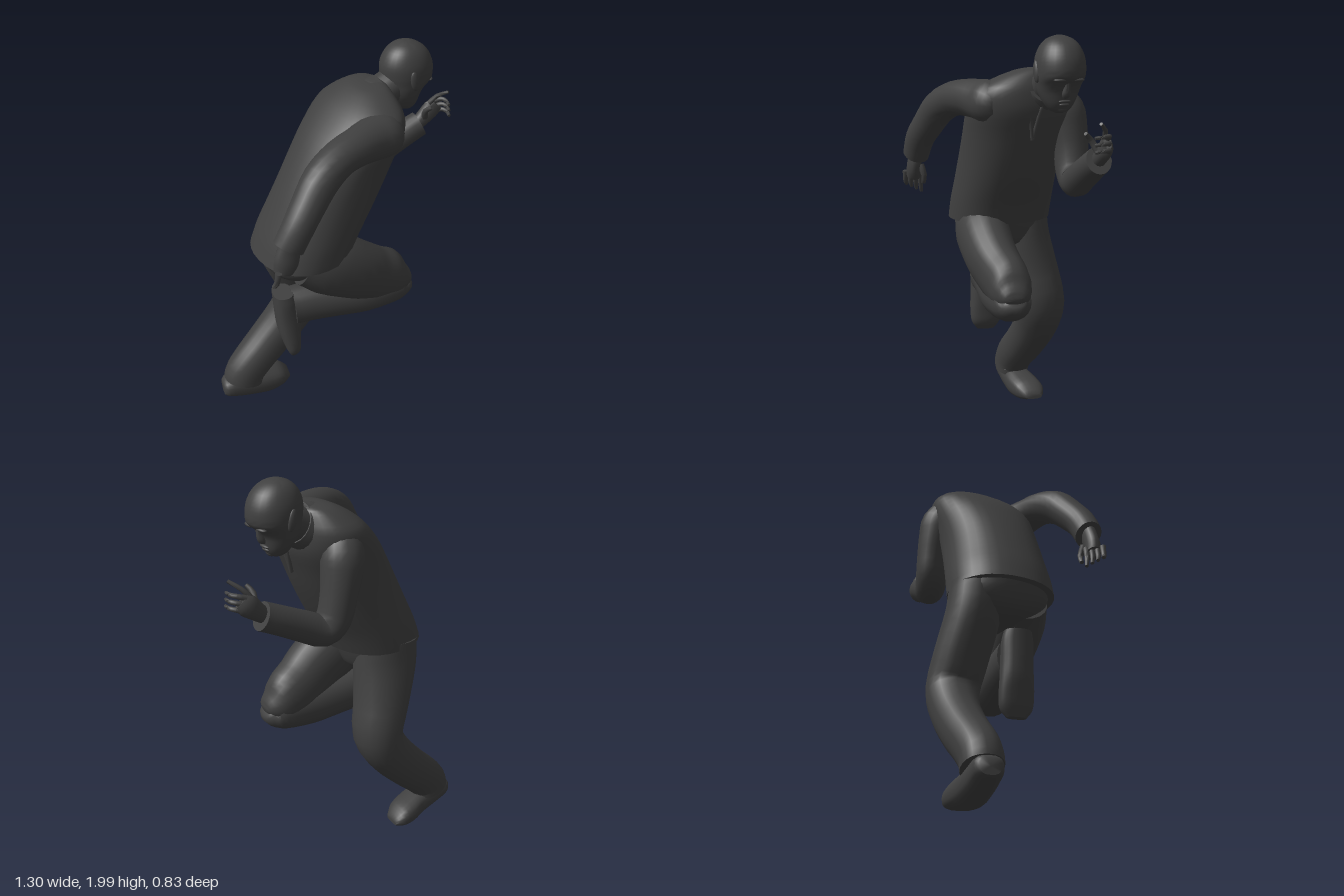
import * as THREE from 'three';
import { toCreasedNormals } from 'three/addons/utils/BufferGeometryUtils.js';

const dark = new THREE.MeshStandardMaterial({ color: 0x404040 });
dark.name = 'charcoal';
const V = (x, y, z) => new THREE.Vector3(x, y, z);
const X = V(1, 0, 0), Y = V(0, 1, 0), Z = V(0, 0, 1);
// Trunk axes, twisted so the side of the raised leg leads
const SIDE = V(0.25, 0, 0.97).normalize(), AHEAD = V(0.97, 0, -0.25).normalize();

function mesh(name, geometry) {
  const m = new THREE.Mesh(geometry, dark);
  m.name = name;
  return m;
}

// Closed skin over smoothed sections [x, y, z, radiusU, radiusV].
// With no fixed axes the sections turn square to the path.
function loft(name, rows, { u, v, p = 2, sides = 20, sub = 3 } = {}) {
  const path = new THREE.CatmullRomCurve3(rows.map(r => V(r[0], r[1], r[2])), false, 'catmullrom', 0.5);
  const size = new THREE.CatmullRomCurve3(rows.map(r => V(r[3], r[4] ?? r[3], 0)), false, 'catmullrom', 0.5);
  const n = (rows.length - 1) * sub, pos = [], idx = [];
  const bend = a => Math.sign(a) * Math.pow(Math.abs(a), 2 / p);
  for (let i = 0; i <= n; i++) {
    const c = path.getPoint(i / n), s = size.getPoint(i / n);
    let a = u, b = v;
    if (!u) {
      const t = path.getTangent(i / n);
      b = Z.clone().addScaledVector(t, -t.z).normalize();
      a = b.clone().cross(t);
    }
    for (let j = 0; j < sides; j++) {
      const q = (j / sides) * Math.PI * 2;
      const w = c.clone().addScaledVector(a, bend(Math.cos(q)) * Math.max(s.x, 0.001))
        .addScaledVector(b, bend(Math.sin(q)) * Math.max(s.y, 0.001));
      pos.push(w.x, w.y, w.z);
    }
  }
  for (let i = 0; i < n; i++) for (let j = 0; j < sides; j++) {
    const k = (j + 1) % sides, a = i * sides, b = a + sides;
    idx.push(a + j, a + k, b + k, a + j, b + k, b + j);
  }
  // End caps
  const first = rows[0], last = rows[rows.length - 1], m = pos.length / 3;
  pos.push(...first.slice(0, 3), ...last.slice(0, 3));
  for (let j = 0; j < sides; j++) {
    const k = (j + 1) % sides;
    idx.push(m, k, j, m + 1, n * sides + j, n * sides + k);
  }
  const g = new THREE.BufferGeometry();
  g.setAttribute('position', new THREE.Float32BufferAttribute(pos, 3));
  g.setIndex(idx);
  return mesh(name, toCreasedNormals(g, 0.9));
}

function ball(name, [x, y, z], [rx, ry, rz], tilt = 0) {
  const m = mesh(name, new THREE.SphereGeometry(1, 16, 12));
  m.position.set(x, y, z);
  m.scale.set(rx, ry, rz);
  m.rotation.z = tilt;
  return m;
}

// Finger through knuckle points, thinning to the tip
function finger(name, points, r = 0.014) {
  const end = points.length - 1;
  return loft(name, points.map((q, i) => [...q, r * (1 - 0.45 * i / end)]), { sides: 8, sub: 2 });
}

function makeHead() {
  const head = new THREE.Group();
  head.name = 'head';
  const c = V(0.36, 1.83, -0.197);
  // Height, back, front and half width of the skull and jaw
  const levels = [
    [1.655, 0.345, 0.375, 0.015], [1.668, 0.32, 0.398, 0.045], [1.695, 0.292, 0.414, 0.068],
    [1.725, 0.274, 0.421, 0.085], [1.755, 0.259, 0.429, 0.097], [1.785, 0.247, 0.45, 0.104],
    [1.815, 0.24, 0.484, 0.109], [1.85, 0.235, 0.491, 0.112], [1.9, 0.235, 0.484, 0.108],
    [1.95, 0.257, 0.457, 0.088], [1.982, 0.292, 0.415, 0.058], [1.998, 0.335, 0.37, 0.018]];
  head.add(loft('skull', levels.map(([y, b, f, w]) => [(b + f) / 2 - c.x, y - c.y, 0, w, (f - b) / 2]),
    { u: Z, v: X, p: 2.1, sides: 28 }));
  head.add(loft('nose', [[0.09, -0.02, 0, 0.008, 0.012], [0.08, -0.055, 0, 0.017, 0.014],
    [0.072, -0.085, 0, 0.018, 0.02], [0.058, -0.1, 0, 0.012, 0.014]], { sides: 10 }));
  head.add(ball('upperLip', [0.056, -0.12, 0], [0.012, 0.008, 0.03]));
  head.add(ball('lowerLip', [0.05, -0.135, 0], [0.011, 0.008, 0.025]));
  head.add(ball('chin', [0.024, -0.152, 0], [0.021, 0.02, 0.03]));
  for (const s of [-1, 1]) {
    head.add(ball('brow', [0.098, -0.024, s * 0.04], [0.019, 0.01, 0.034]));
    head.add(ball('ear', [-0.012, 0.01, s * 0.108], [0.022, 0.05, 0.014], 0.2));
  }
  head.position.copy(c);
  head.rotation.y = 0.15;
  return head;
}

export function createModel() {
  const man = new THREE.Group();
  man.name = 'runningMan';

  // Leaning shirt
  man.add(loft('shirt', [
    [-0.218, 1.08, -0.052, 0.255, 0.235], [-0.178, 1.18, -0.055, 0.252, 0.24],
    [-0.122, 1.29, -0.06, 0.244, 0.246], [-0.058, 1.42, -0.067, 0.239, 0.246],
    [0, 1.54, -0.077, 0.244, 0.236], [0.058, 1.65, -0.09, 0.256, 0.217],
    [0.1, 1.74, -0.105, 0.25, 0.17], [0.125, 1.795, -0.125, 0.19, 0.127],
    [0.15, 1.835, -0.15, 0.115, 0.08], [0.165, 1.848, -0.16, 0.06, 0.045]],
  { u: SIDE, v: AHEAD, p: 2.2, sides: 32 }));

  // Collar and neck opening
  man.add(loft('collar', [[0.12, 1.71, -0.15, 0.12], [0.2, 1.75, -0.162, 0.112], [0.245, 1.775, -0.17, 0.094]]));
  for (const z of [-0.055, -0.165]) {
    const edge = new THREE.CatmullRomCurve3([V(0.255, 1.73, z), V(0.266, 1.66, (z - 0.108) / 2), V(0.236, 1.52, -0.108)]);
    man.add(mesh('neckOpeningEdge', new THREE.TubeGeometry(edge, 10, 0.01, 6)));
  }
  man.add(loft('neck', [[0.15, 1.72, -0.16, 0.09], [0.24, 1.77, -0.175, 0.083], [0.32, 1.81, -0.19, 0.08]]));
  man.add(makeHead());

  // Arm swung back
  const rearArm = new THREE.Group();
  rearArm.name = 'rearArm';
  rearArm.add(loft('rearSleeve', [
    [0.22, 1.68, 0.035, 0.06], [0.17, 1.685, 0.06, 0.1], [0.1, 1.69, 0.085, 0.104],
    [0.01, 1.7, 0.14, 0.09], [-0.1, 1.69, 0.195, 0.084], [-0.2, 1.64, 0.25, 0.084],
    [-0.275, 1.555, 0.295, 0.078], [-0.335, 1.475, 0.33, 0.073], [-0.388, 1.385, 0.345, 0.073, 0.066]]));
  rearArm.add(loft('rearPalm', [[-0.385, 1.41, 0.345, 0.042, 0.035], [-0.392, 1.36, 0.35, 0.056, 0.036],
    [-0.405, 1.31, 0.355, 0.058, 0.038], [-0.42, 1.265, 0.355, 0.045, 0.036]], { sides: 12 }));
  for (let i = 0; i < 4; i++) {
    const z = 0.32 + i * 0.024, x = -0.415 - i * 0.012;
    rearArm.add(finger('rearFinger', [[x, 1.29, z], [x - 0.01, 1.235, z], [x - 0.025, 1.18 + i * 0.012, z - 0.008]], 0.016));
  }
  rearArm.add(finger('rearThumb', [[-0.37, 1.33, 0.325], [-0.355, 1.28, 0.31], [-0.375, 1.235, 0.31]], 0.019));
  man.add(rearArm);

  // Arm bent forward
  const frontArm = new THREE.Group();
  frontArm.name = 'frontArm';
  frontArm.add(loft('frontSleeve', [
    [0.065, 1.735, -0.2, 0.04], [0.07, 1.705, -0.25, 0.078], [0.085, 1.64, -0.3, 0.1],
    [0.1, 1.56, -0.318, 0.095], [0.12, 1.46, -0.33, 0.085], [0.145, 1.36, -0.332, 0.082],
    [0.2, 1.312, -0.332, 0.076], [0.3, 1.355, -0.332, 0.072], [0.42, 1.415, -0.337, 0.067],
    [0.508, 1.457, -0.34, 0.066, 0.06]]));
  frontArm.add(loft('frontPalm', [[0.48, 1.445, -0.34, 0.034], [0.53, 1.485, -0.345, 0.042, 0.032],
    [0.575, 1.525, -0.35, 0.05, 0.028], [0.6, 1.55, -0.345, 0.04, 0.018]], { sides: 12 }));
  frontArm.add(finger('indexFinger', [[0.56, 1.56, -0.345], [0.595, 1.6, -0.335], [0.64, 1.632, -0.3]]));
  for (let i = 0; i < 3; i++) {
    const y = 1.575 - i * 0.03, x = 0.59 + i * 0.003;
    frontArm.add(finger('frontFinger', [[x - 0.01, y - 0.015, -0.35], [x + 0.03, y, -0.345], [x + 0.048, y, -0.315], [x + 0.046, y - 0.005, -0.275]]));
  }
  frontArm.add(finger('frontThumb', [[0.53, 1.5, -0.325], [0.52, 1.55, -0.295], [0.54, 1.58, -0.265]], 0.018));
  man.add(frontArm);

  // Trouser seat under the hem
  man.add(loft('trouserSeat', [[-0.22, 0.92, -0.08, 0.06, 0.08], [-0.225, 0.96, -0.07, 0.15, 0.15],
    [-0.225, 1.03, -0.06, 0.22, 0.185], [-0.215, 1.12, -0.05, 0.235, 0.205]], { u: SIDE, v: AHEAD, p: 2.2, sides: 28 }));

  // Raised leg folded at the knee
  const raisedLeg = new THREE.Group();
  raisedLeg.name = 'raisedLeg';
  raisedLeg.add(loft('raisedThigh', [[-0.24, 1.07, 0.05, 0.13, 0.12], [-0.12, 1.02, 0.055, 0.165, 0.132],
    [0.02, 0.935, 0.045, 0.155, 0.125], [0.12, 0.868, 0.02, 0.146, 0.115], [0.205, 0.825, 0, 0.138, 0.108],
    [0.275, 0.797, -0.005, 0.1, 0.096], [0.33, 0.787, -0.005, 0.042, 0.06], [0.345, 0.785, -0.005, 0.012, 0.03]], { p: 2.15 }));
  raisedLeg.add(loft('raisedShin', [[0.33, 0.775, -0.005, 0.03, 0.05], [0.305, 0.752, -0.005, 0.066, 0.078],
    [0.26, 0.75, -0.005, 0.094, 0.097], [0.1, 0.747, 0, 0.11, 0.108], [-0.06, 0.753, 0, 0.108, 0.1],
    [-0.19, 0.755, 0, 0.105, 0.09], [-0.29, 0.75, 0, 0.103, 0.085]], { p: 2.15 }));
  raisedLeg.add(loft('raisedShoe', [[-0.338, 0.85, 0, 0.05, 0.065], [-0.328, 0.8, 0, 0.057, 0.074],
    [-0.317, 0.7, 0, 0.062, 0.075], [-0.313, 0.62, 0, 0.058, 0.078], [-0.306, 0.55, 0, 0.048, 0.081],
    [-0.3, 0.49, 0, 0.038, 0.075], [-0.303, 0.447, 0, 0.018, 0.045]], { u: X, v: Z, p: 2.5 }));
  man.add(raisedLeg);

  // Leg pushing off the ground
  const pushLeg = new THREE.Group();
  pushLeg.name = 'pushLeg';
  pushLeg.add(loft('pushTrouserLeg', [[-0.24, 1.1, -0.175, 0.16, 0.13], [-0.23, 0.96, -0.19, 0.162, 0.13],
    [-0.19, 0.78, -0.23, 0.138, 0.13], [-0.155, 0.62, -0.262, 0.122, 0.126],
    [-0.235, 0.48, -0.262, 0.115, 0.113], [-0.36, 0.345, -0.24, 0.11, 0.105],
    [-0.46, 0.25, -0.215, 0.107, 0.1], [-0.515, 0.185, -0.203, 0.107, 0.095], [-0.53, 0.135, -0.2, 0.107, 0.093]], { p: 2.15 }));
  pushLeg.add(loft('pushShoe', [[-0.648, 0.11, -0.19, 0.036, 0.045], [-0.62, 0.113, -0.192, 0.052, 0.064],
    [-0.54, 0.1, -0.2, 0.065, 0.07], [-0.45, 0.083, -0.213, 0.066, 0.076],
    [-0.385, 0.069, -0.23, 0.064, 0.083], [-0.31, 0.06, -0.25, 0.048, 0.077],
    [-0.262, 0.045, -0.262, 0.015, 0.045]], { u: Y, v: Z, p: 2.6 }));
  man.add(pushLeg);

  return man;
}
